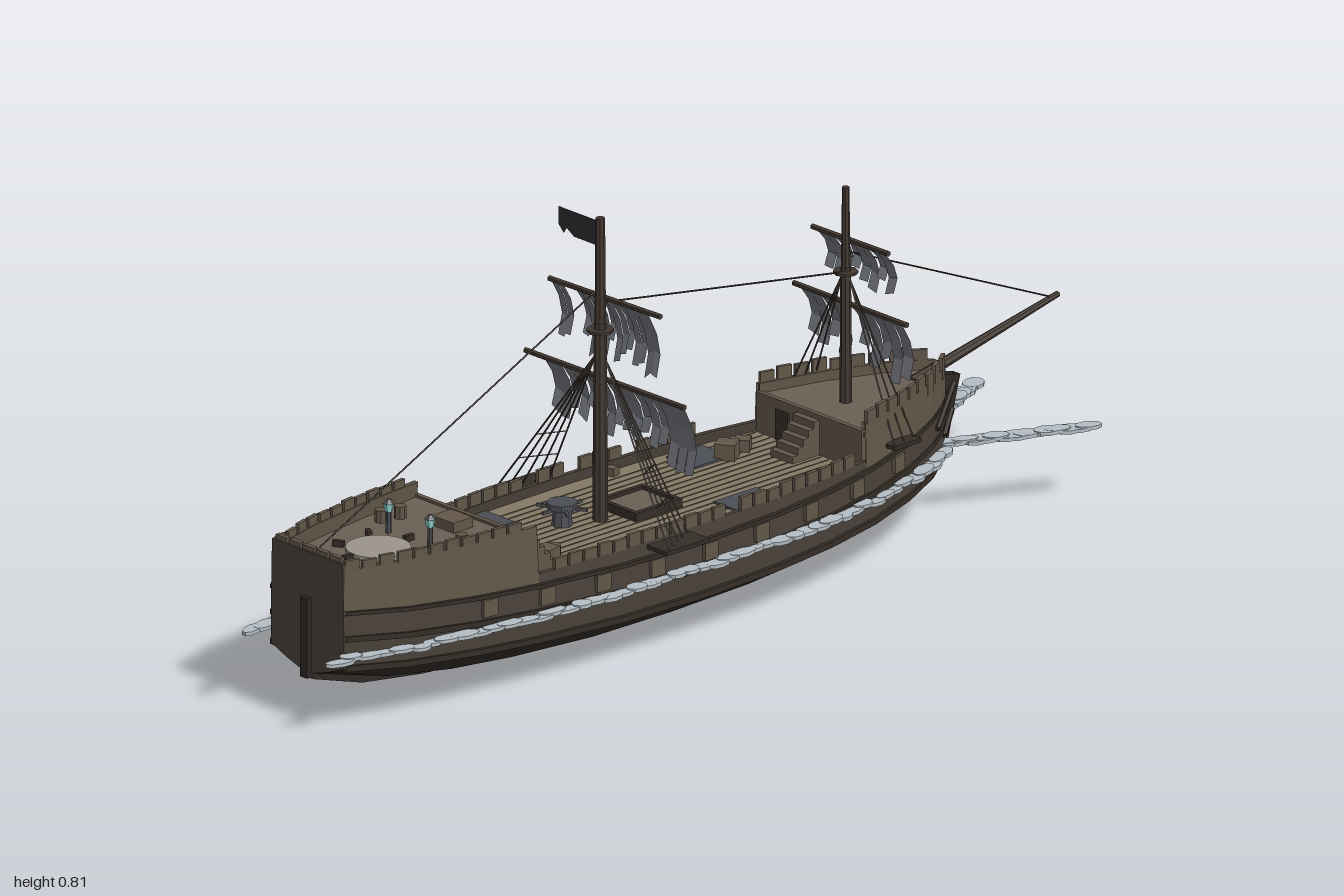
import * as THREE from 'three';
import { mergeGeometries } from 'three/addons/utils/BufferGeometryUtils.js';

const C = { keel: 0x2f2925, bottom: 0x312b27, hull: 0x4a4139, trim: 0x352d27, wall: 0x625749, deck: 0x857866,
  poop: 0x6b5f53, spar: 0x423831, sail: 0x71747b, flag: 0x2d2b30, foam: 0xb4bec5, stone: 0x9a948a, dark: 0x4b4e54, glow: 0x8fd6d0 };
const V = (x, y, z) => new THREE.Vector3(x, y, z);
let seed = 7;
const rnd = () => (seed = (seed * 16807) % 2147483647) / 2147483647;

// Hull stations: x, half beam, keel height
const ST = [[-0.93, 0.1, 0.09], [-0.8, 0.137, 0.055], [-0.65, 0.16, 0.034], [-0.5, 0.175, 0.022], [-0.3, 0.188, 0.013], [-0.1, 0.191, 0.012],
  [0.1, 0.185, 0.015], [0.25, 0.172, 0.022], [0.38, 0.151, 0.034], [0.5, 0.118, 0.053], [0.6, 0.077, 0.08], [0.66, 0.042, 0.105], [0.7, 0.01, 0.13]];
function at(x, k) {
  let i = 0;
  while (i < ST.length - 2 && x > ST[i + 1][0]) i++;
  const [a, b] = [ST[i], ST[i + 1]];
  return THREE.MathUtils.lerp(a[k], b[k], (x - a[0]) / (b[0] - a[0]));
}
const beam = x => at(x, 1), keelY = x => at(x, 2);
const sheer = x => 0.042 * ((x + 0.1) / 0.82) ** 2;
const stations = (x0, x1) => [x0, ...ST.map(s => s[0]).filter(x => x > x0 + 0.01 && x < x1 - 0.01), x1];

export function createModel() {
  const ship = new THREE.Group();
  ship.name = 'sailingShip';
  const mats = {};
  const mat = c => mats[c] ??= new THREE.MeshStandardMaterial({ color: c, flatShading: true, side: THREE.DoubleSide });
  function add(name, geo, color) {
    const list = Array.isArray(geo) ? geo : [geo];
    const g = list.length > 1 ? mergeGeometries(list.map(q => q.index ? q.toNonIndexed() : q)) : list[0];
    const m = new THREE.Mesh(g, mat(color));
    m.name = name;
    ship.add(m);
    return m;
  }
  const box = (w, h, d, x, y, z, ry = 0) => new THREE.BoxGeometry(w, h, d).rotateY(ry).translate(x, y, z);
  const cyl = (r0, r1, h, n, x, y, z) => new THREE.CylinderGeometry(r1, r0, h, n).translate(x, y, z);
  function rod(a, b, r0, r1 = r0, n = 6) {
    const d = b.clone().sub(a);
    const g = new THREE.CylinderGeometry(r1, r0, d.length(), n);
    g.applyQuaternion(new THREE.Quaternion().setFromUnitVectors(V(0, 1, 0), d.normalize()));
    return g.translate((a.x + b.x) / 2, (a.y + b.y) / 2, (a.z + b.z) / 2);
  }
  // Surface through rows of points
  function loft(rows) {
    const n = rows[0].length, pos = rows.flat().flatMap(p => [p.x, p.y, p.z]), idx = [], uv = [];
    for (let i = 0; i < rows.length * n; i++) uv.push(0, 0);
    for (let i = 0; i < rows.length - 1; i++) for (let j = 0; j < n - 1; j++) {
      const a = i * n + j, b = a + n;
      idx.push(a, a + 1, b, b, a + 1, b + 1);
    }
    const g = new THREE.BufferGeometry();
    g.setAttribute('position', new THREE.Float32BufferAttribute(pos, 3));
    g.setAttribute('uv', new THREE.Float32BufferAttribute(uv, 2));
    g.setIndex(idx);
    g.computeVertexNormals();
    return g;
  }
  // Closed strip that follows the hull side: z scale, heights as functions of x
  const strip = (x0, x1, s, lo, hi, f0, f1, t) => loft(stations(x0, x1).map(x => {
    const o = beam(x) * f0, p = beam(x) * f1, c = v => Math.max(v, 0);
    return [V(x, lo(x), s * o), V(x, hi(x), s * p), V(x, hi(x), s * c(p - t)), V(x, lo(x), s * c(o - t)), V(x, lo(x), s * o)];
  }));
  const both = f => [1, -1].flatMap(f);

  // Hull shell
  const bilge = x => Math.max(0.087 + sheer(x) * 0.9, keelY(x) + 0.02);
  const half = x => [[0, keelY(x)], [beam(x) * 0.57, keelY(x) + 0.018], [beam(x), bilge(x)]];
  add('lowerHull', loft(stations(-0.93, 0.7).map(x => {
    const h = half(x);
    return [...h.slice(1).reverse().map(p => V(x, p[1], p[0])), ...h.map(p => V(x, p[1], -p[0]))];
  })), C.bottom);
  add('upperHull', both(s => loft(stations(-0.93, 0.7).map(x => [V(x, bilge(x), s * beam(x)),
    V(x, 0.15 + sheer(x), s * beam(x) * 1.01), V(x, 0.195 + sheer(x), s * beam(x))]))), C.hull);
  // Transom
  const tr = [...half(-0.93), [0.1, 0.2], [0.097, 0.335]];
  const trShape = new THREE.Shape([...tr, ...tr.slice(1).reverse().map(p => [-p[0], p[1]])].map(p => new THREE.Vector2(...p)));
  add('transom', new THREE.ExtrudeGeometry(trShape, { depth: 0.012, bevelEnabled: false }).rotateY(-Math.PI / 2).translate(-0.92, 0, 0), C.hull);
  // Rubbing strakes
  const strake = (y0, h) => both(s => strip(-0.93, 0.7, s, x => y0(x), x => y0(x) + h, 1.045, 1.045, 0.012));
  add('strakes', [...strake(x => bilge(x) - 0.005, 0.012), ...strake(x => 0.137 + sheer(x), 0.011), ...strake(x => 0.19 + sheer(x), 0.008)], C.trim);

  // Keel, stem and sternpost
  const kp = [[-0.925, 0.32, 0], [-0.925, 0.09, 0], ...ST.slice(1).map(s => [s[0], s[2] - 0.004]), [0.715, 0.19], [0.735, 0.265]];
  add('keelAndStem', loft(kp.slice(1).map(([x, y]) => {
    const bow = x > 0.68, dx = bow ? -0.04 : 0, dy = bow ? 0.01 : 0.02, lo = bow ? 0 : -0.01;
    return [V(x, y + lo, 0.01), V(x + dx, y + dy, 0.01), V(x + dx, y + dy, -0.01), V(x, y + lo, -0.01), V(x, y + lo, 0.01)];
  })), C.keel);
  add('sternpost', box(0.016, 0.16, 0.02, -0.934, 0.165, 0), C.keel);
  add('bowKnees', both(s => [rod(V(0.62, 0.2, s * 0.07), V(0.72, 0.25, s * 0.008), 0.006), rod(V(0.66, 0.17, s * 0.045), V(0.715, 0.2, s * 0.008), 0.006)]), C.trim);

  // Bulwarks with board tops
  const base = x => 0.193 + sheer(x);
  const decks = [['poop', -0.93, -0.5, 0.32, 0.34, 0.96], ['waist', -0.5, 0.36, 0.226, 0.252, 0.985], ['forecastle', 0.36, 0.69, 0.3, 0.326, 0.97]];
  for (const [name, x0, x1, top, cap, f] of decks) {
    add(name + 'Bulwark', both(s => strip(x0, x1, s, base, () => top, 1, f, 0.01)), name === 'waist' ? C.hull : C.wall);
    const boards = [];
    for (const s of [1, -1]) for (let x = x0 + 0.02, i = 0; x < x1 - 0.015; x += 0.036, i++) {
      if (name === 'waist' && rnd() < 0.25) continue;
      const ang = -Math.atan2(s * (beam(x + 0.01) - beam(x - 0.01)), 0.02), h = cap - top + 0.02 - rnd() * 0.006;
      boards.push(box(0.03, h, 0.008, x, top - 0.02 + h / 2, s * (beam(x) * f - 0.004), ang));
    }
    add(name + 'Boards', boards, C.wall);
  }
  add('taffrail', [-2, -1, 0, 1, 2].map(i => box(0.01, 0.03, 0.03, -0.925, 0.33, i * 0.037)), C.wall);

  // Decks
  const deckGeo = (x0, x1, y) => {
    const xs = stations(x0, x1), pts = [...xs.map(x => [x, beam(x) * 0.97]), ...xs.reverse().map(x => [x, -beam(x) * 0.97])];
    return new THREE.ExtrudeGeometry(new THREE.Shape(pts.map(p => new THREE.Vector2(...p))), { depth: 0.008, bevelEnabled: false })
      .rotateX(Math.PI / 2).translate(0, y, 0);
  };
  add('mainDeck', deckGeo(-0.5, 0.36, 0.205), C.deck);
  add('poopDeck', deckGeo(-0.925, -0.5, 0.29), C.poop);
  add('foreDeck', deckGeo(0.36, 0.69, 0.28), C.poop);
  const seams = [];
  for (let i = -7; i <= 7; i++) seams.push(box(0.84, 0.002, 0.0015, -0.07, 0.2055, i * 0.02));
  add('deckSeams', seams, C.poop);
  add('bulkheads', [box(0.01, 0.1, 0.33, -0.5, 0.245, 0), box(0.01, 0.09, 0.29, 0.36, 0.24, 0)], C.wall);
  add('cabinDoors', [box(0.006, 0.06, 0.04, -0.493, 0.236, 0), box(0.006, 0.06, 0.035, 0.353, 0.236, -0.07)], C.trim);

  // Stairs
  const stairs = [];
  for (let i = 0; i < 5; i++) {
    for (const s of [1, -1]) stairs.push(box(0.014, 0.016 * (5 - i), 0.06, -0.488 + i * 0.014, 0.205 + 0.008 * (5 - i), s * 0.125));
    stairs.push(box(0.014, 0.014 * (5 - i), 0.06, 0.348 - i * 0.014, 0.205 + 0.007 * (5 - i), 0));
  }
  add('stairs', stairs, C.wall);

  // Deck fittings
  add('hatchFrame', [-1, 1].flatMap(s => [box(0.12, 0.018, 0.01, -0.08, 0.213, s * 0.05), box(0.01, 0.018, 0.11, -0.08 + s * 0.055, 0.213, 0)]), C.trim);
  add('hatchCover', box(0.1, 0.008, 0.09, -0.08, 0.211, 0), C.poop);
  add('deckHoles', [box(0.1, 0.004, 0.08, -0.36, 0.207, -0.135), box(0.09, 0.004, 0.08, 0.18, 0.207, -0.115), box(0.11, 0.004, 0.08, 0.09, 0.207, 0.12)], C.dark);
  add('capstan', [cyl(0.02, 0.016, 0.04, 8, -0.25, 0.225, -0.03), cyl(0.03, 0.03, 0.012, 8, -0.25, 0.245, -0.03),
    ...[0, 1, 2].map(i => box(0.1, 0.006, 0.006, -0.25, 0.24, -0.03, i * Math.PI / 3))], C.dark);
  const crates = [];
  for (const [x, z, w] of [[-0.4, 0.09, 0.035], [-0.37, 0.075, 0.025], [0.22, -0.08, 0.04], [0.27, -0.09, 0.03], [0.17, -0.14, 0.025], [-0.3, 0.15, 0.022], [0, -0.16, 0.02], [0.12, 0.15, 0.02]])
    crates.push(box(w, w * 0.8, w, x, 0.205 + w * 0.4, z, rnd()));
  for (const [x, z] of [[-0.62, 0.09], [-0.6, -0.1], [-0.64, -0.11]]) crates.push(cyl(0.012, 0.012, 0.025, 8, x, 0.302, z));
  add('cratesAndBarrels', crates, C.wall);
  add('skylight', box(0.05, 0.02, 0.06, -0.56, 0.3, 0), C.wall);
  add('stoneDisc', cyl(0.062, 0.062, 0.008, 24, -0.75, 0.294, 0), C.stone);
  add('discPosts', [0, 1, 2, 3, 4, 5].map(i => box(0.022, 0.012, 0.01, -0.75 + 0.078 * Math.cos(i * 1.047), 0.296, 0.078 * Math.sin(i * 1.047), -i * 1.047)), C.trim);
  add('lanternPosts', both(s => [cyl(0.006, 0.005, 0.045, 6, -0.67, 0.312, s * 0.057), cyl(0.012, 0.004, 0.008, 6, -0.67, 0.353, s * 0.057)]), C.dark);
  add('lanterns', both(s => [cyl(0.008, 0.01, 0.016, 6, -0.67, 0.341, s * 0.057)]), C.glow);

  // Gun ports
  const ports = [];
  for (const s of [1, -1]) for (let i = 0; i < 9; i++) {
    const x = -0.62 + i * 0.135;
    ports.push(box(0.034, 0.034, 0.012, x, 0.172 + sheer(x), s * (beam(x) + 0.003), -s * Math.atan2(beam(x + 0.02) - beam(x - 0.02), 0.04)));
  }
  add('gunPorts', ports, C.wall);

  // Masts and bowsprit
  const MX = -0.18, FX = 0.45;
  add('mainMast', [rod(V(MX, 0.2, 0), V(MX, 0.6, 0), 0.015, 0.012, 8), rod(V(MX, 0.58, 0), V(MX, 0.81, 0), 0.011, 0.009, 8), cyl(0.026, 0.026, 0.006, 8, MX, 0.585, 0)], C.spar);
  add('foreMast', [rod(V(FX, 0.27, 0), V(FX, 0.55, 0), 0.012, 0.01, 8), rod(V(FX, 0.54, 0), V(FX, 0.71, 0), 0.009, 0.007, 8), cyl(0.024, 0.024, 0.005, 8, FX, 0.54, 0)], C.spar);
  add('bowsprit', rod(V(0.62, 0.275, 0), V(0.995, 0.356, 0), 0.012, 0.006, 8), C.spar);
  const yard = (x, y, h, t = 0) => rod(V(x + 0.012, y + t, h), V(x + 0.012, y - t, -h), 0.006);
  add('yards', [yard(MX, 0.484, 0.218, 0.002), yard(MX, 0.647, 0.152, 0.003), yard(FX, 0.472, 0.155), yard(FX, 0.6, 0.104, 0.001)], C.spar);

  // Torn sails: cloth widths with ragged feet
  function sail(name, x, top, z0, z1, drops) {
    const w = (z1 - z0) / drops.length, out = [];
    drops.forEach((d, i) => {
      if (!d) return;
      const e = d * (0.86 + 0.14 * rnd()), f = d * (0.86 + 0.14 * rnd());
      out.push(loft([0, 0.33, 0.66, 1].map(t => [[i, e], [i + 1, f]].map(([k, q]) =>
        V(x + 0.014 + 0.03 * Math.sin(t * 2.4) , top - q * t, z0 + w * k)))));
    });
    add(name, out, C.sail);
  }
  sail('mainCourse', MX, 0.48, -0.17, 0.218, [0.115, 0.12, 0.1, 0.11, 0.08, 0.1, 0.12, 0.09, 0.1, 0.11, 0.09, 0.12, 0.1, 0.145, 0.15, 0.148]);
  sail('mainTopsail', MX, 0.643, -0.152, 0.118, [0.13, 0.11, 0, 0, 0.1, 0.14, 0.12, 0.13, 0.09, 0.14, 0.12, 0.1, 0.13, 0.12, 0.145, 0.14]);
  sail('foreCourse', FX, 0.468, -0.14, 0.14, [0.1, 0.12, 0.09, 0.13, 0, 0.08, 0.12, 0.1, 0.14, 0.12]);
  sail('foreTopsail', FX, 0.596, -0.095, 0.095, [0.09, 0.1, 0.08, 0.06, 0.09, 0.1, 0.07, 0.09]);

  // Flag with a torn fly
  const flag = new THREE.Shape([[0, 0.802], [0.114, 0.802], [0.114, 0.766], [0.1, 0.752], [0.092, 0.764], [0.072, 0.752], [0, 0.752]].map(p => new THREE.Vector2(...p)));
  add('flag', new THREE.ShapeGeometry(flag).rotateY(Math.PI / 2).translate(MX, 0, 0), C.flag);

  // Stays, shrouds and their channels
  add('stays', [rod(V(-0.9, 0.335, 0), V(MX, 0.672, 0), 0.0017), rod(V(MX, 0.64, 0), V(FX, 0.54, 0), 0.0017), rod(V(FX, 0.582, 0), V(0.98, 0.353, 0), 0.0017)], C.trim);
  add('channels', both(s => [box(0.11, 0.008, 0.055, MX, 0.216, s * 0.214), box(0.07, 0.008, 0.03, FX + 0.01, 0.235, s * 0.145)]), C.trim);
  const shrouds = [];
  for (const s of [1, -1]) {
    for (let i = 0; i < 5; i++) shrouds.push(rod(V(MX - 0.045 + i * 0.0225, 0.218, s * (0.236 - i * 0.011)), V(MX, 0.53, s * 0.014), 0.002, 0.002, 4));
    for (let i = 0; i < 3; i++) shrouds.push(rod(V(FX - 0.02 + i * 0.03, 0.236, s * (0.156 - i * 0.006)), V(FX, 0.53, s * 0.01), 0.002, 0.002, 4));
    for (const t of [0.22, 0.4]) shrouds.push(rod(V(MX - 0.045 * (1 - t), 0.218 + 0.312 * t, s * (0.236 - 0.222 * t)), V(MX + 0.045 * (1 - t), 0.218 + 0.312 * t, s * (0.192 - 0.178 * t)), 0.0015, 0.0015, 4));
  }
  add('shrouds', shrouds, C.trim);

  // Foam along the waterline and the bow wake
  const foam = [];
  const blob = (x, z, w, d, a) => foam.push(new THREE.CylinderGeometry(1, 1, 0.007, 9).scale(w, 1, d).rotateY(a).translate(x, 0.151 + (rnd() - 0.5) * 0.004, z));
  for (const s of [1, -1]) {
    for (let x = -0.96; x < 0.68; x += 0.034) {
      const xx = Math.max(x, -0.93), slope = Math.atan2(beam(xx + 0.03) - beam(xx), 0.03);
      blob(x, s * (beam(xx) * 1.01 + 0.01 + rnd() * 0.012), 0.02 + rnd() * 0.014, 0.01 + rnd() * 0.008, -s * slope);
    }
    for (let t = 0; t <= 1.001; t += 0.07) blob(0.67 + 0.26 * t, s * (0.035 + 0.125 * t), 0.027, 0.014 + 0.008 * rnd(), -s * 0.45);
  }
  add('foam', foam, C.foam);
  return ship;
}
